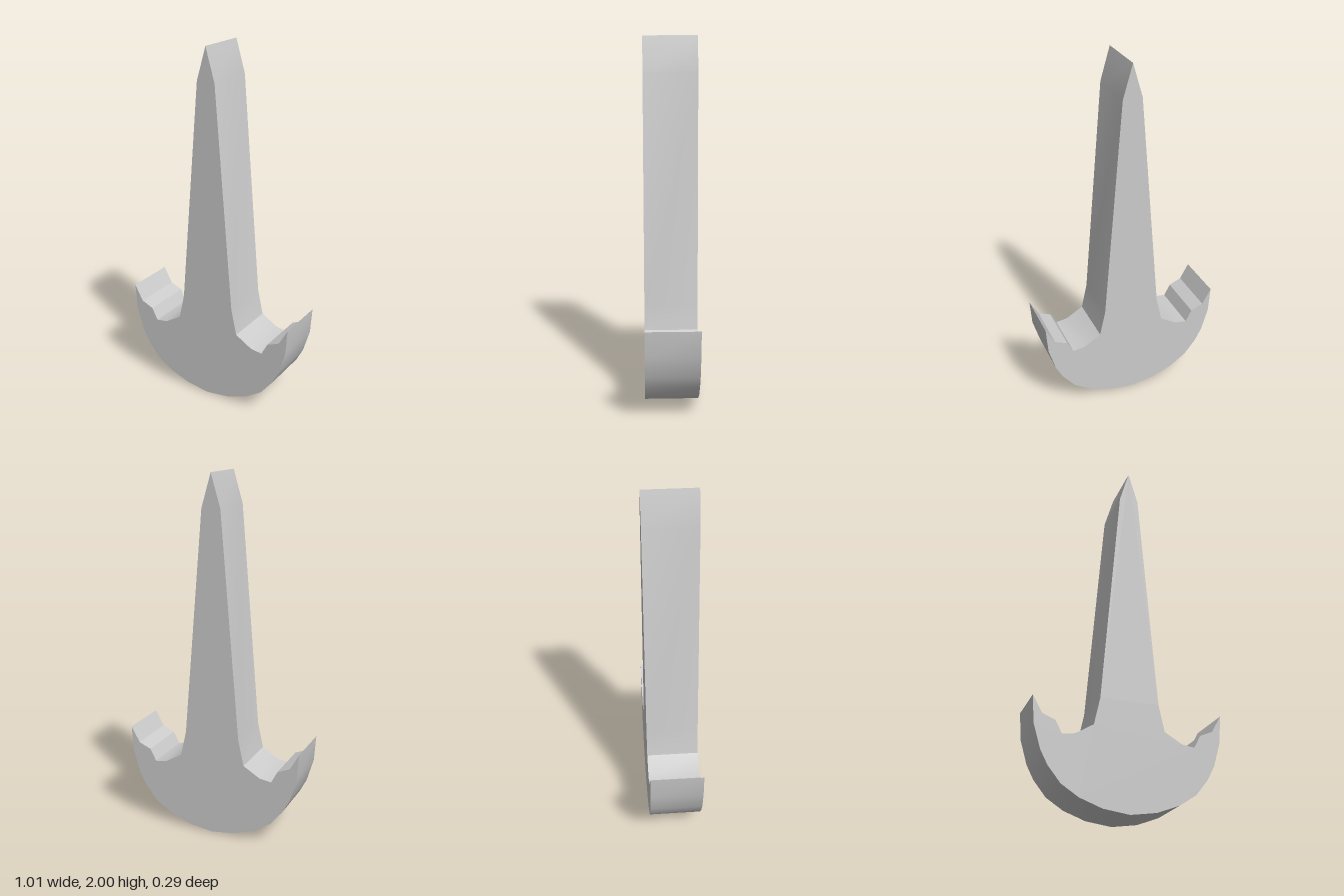
import * as THREE from 'three';
import { toCreasedNormals } from 'three/addons/utils/BufferGeometryUtils.js';

export function createModel() {
  const group = new THREE.Group();
  group.name = 'anchorBlade';
  const depth = 0.29;

  // Right half of the outline, from the bottom of the curved base to the tip
  const half = [
    [0, 0], [0.14, 0.02], [0.26, 0.065], [0.352, 0.125], [0.42, 0.21], [0.459, 0.285],
    [0.497, 0.415], [0.507, 0.56],                                // outer curve and barb point
    [0.457, 0.47], [0.387, 0.44], [0.352, 0.373], [0.285, 0.383], // stepped notch
    [0.19, 0.44], [0.158, 0.585], [0.053, 1.82], [0, 2],          // tapering spike
  ];
  const left = half.slice(1, -1).reverse().map(([x, y]) => [-x, y]);
  const outline = [...half, ...left].map(([x, y]) => new THREE.Vector2(x, y));

  // Flat slab with softly shaded curves and crisp corners
  const slab = new THREE.ExtrudeGeometry(new THREE.Shape(outline), { depth, bevelEnabled: false });
  slab.translate(0, 0, -depth / 2);
  const mesh = new THREE.Mesh(
    toCreasedNormals(slab, THREE.MathUtils.degToRad(30)),
    new THREE.MeshStandardMaterial({ color: 0xcccccc }),
  );
  mesh.name = 'spikeAndCurvedBase';
  group.add(mesh);
  return group;
}
